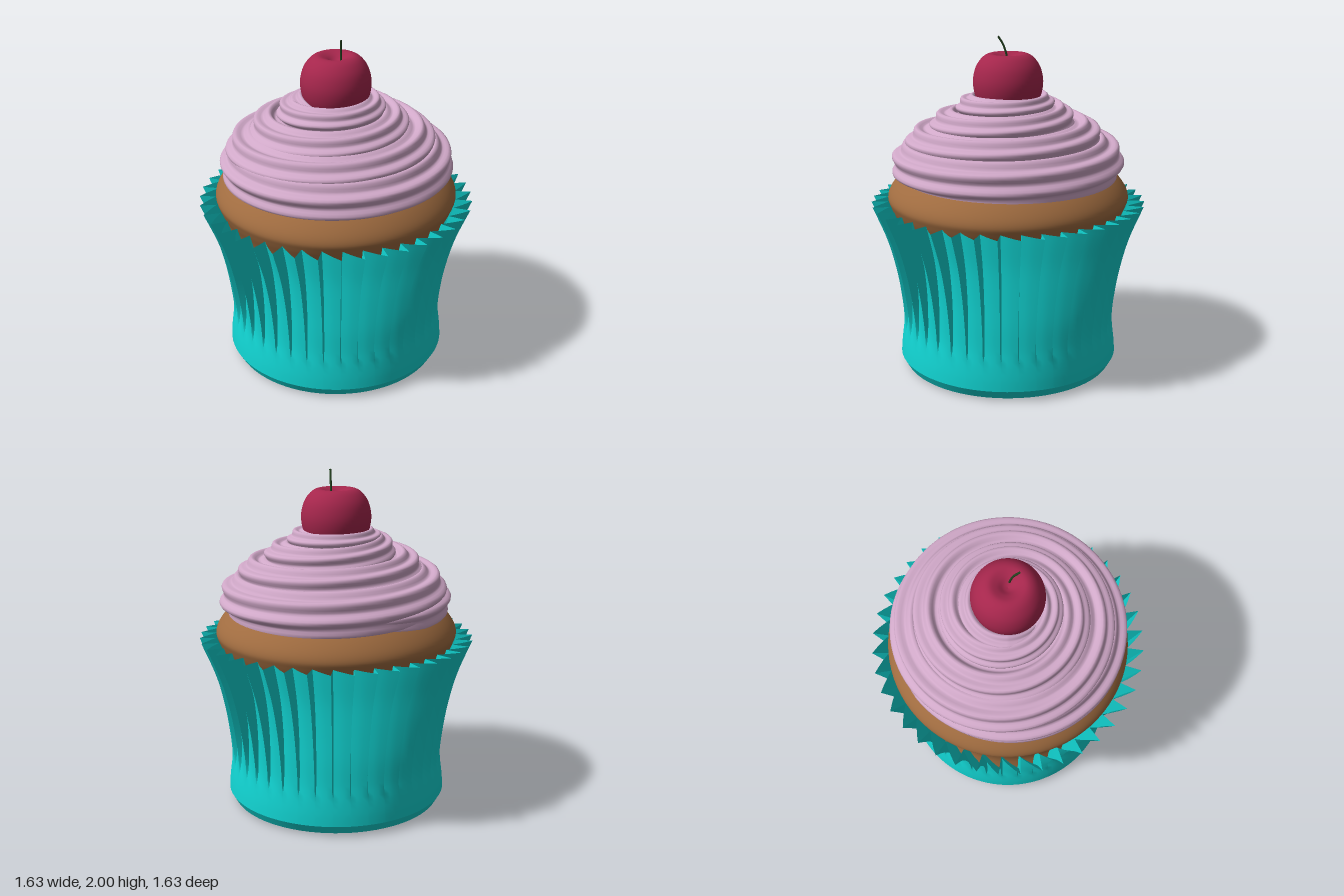
import * as THREE from 'three';
import { toCreasedNormals } from 'three/addons/utils/BufferGeometryUtils.js';
import { ParametricGeometry } from 'three/addons/geometries/ParametricGeometry.js';

const TAU = Math.PI * 2;
const spline2 = (pts) => new THREE.SplineCurve(pts.map(([x, y]) => new THREE.Vector2(x, y)));
const material = (color, side = THREE.FrontSide) => new THREE.MeshStandardMaterial({ color, side });

function addMesh(parent, name, geometry, mat) {
  const mesh = new THREE.Mesh(geometry, mat);
  mesh.name = name;
  parent.add(mesh);
  return mesh;
}

// Smooth turned solid from a profile listed bottom to top
function turned(pts, samples = 40) {
  const profile = spline2(pts).getPoints(samples);
  profile.forEach((p) => { p.x = Math.max(p.x, 0); });
  return new THREE.LatheGeometry(profile, 80);
}

// Flared paper side with sawtooth pleats that fade out towards the base
function pleatedSide() {
  const teeth = 40;
  const steps = [0, 0.31, 0.62, 0.93];
  const profile = spline2([[0.66, 0.065], [0.655, 0.13], [0.64, 0.28], [0.655, 0.45],
    [0.685, 0.63], [0.735, 0.82], [0.815, 1.02]]);
  const columns = teeth * steps.length;
  const surface = (u, v, target) => {
    const k = Math.round((1 - u) * columns);
    const f = steps[k % 4];
    const a = (TAU * (Math.floor(k / 4) + f)) / teeth + 0.02;
    const p = profile.getPoint(v);
    const depth = 0.1 * Math.pow(THREE.MathUtils.clamp((p.y - 0.22) / 0.8, 0, 1), 0.85);
    const r = p.x - (depth * f) / 0.93;
    target.set(r * Math.cos(a), p.y, r * Math.sin(a));
  };
  return toCreasedNormals(new ParametricGeometry(surface, columns, 28), 0.6);
}

// Piped icing: a fluted strand coiling upward and inward
function icingSwirl() {
  const turns = 4.5;
  const path = new THREE.CatmullRomCurve3([ // coil radius, height, strand radius
    [0.545, 1.235, 0.11], [0.56, 1.25, 0.13], [0.55, 1.27, 0.135], [0.49, 1.345, 0.125],
    [0.445, 1.39, 0.12], [0.36, 1.45, 0.11], [0.3, 1.5, 0.1], [0.225, 1.565, 0.085],
    [0.2, 1.585, 0.08], [0.195, 1.59, 0.075],
  ].map((p) => new THREE.Vector3(...p)));
  const flutes = 8;
  const surface = (u, v, target) => {
    const c = path.getPoint(u);
    const a = -2.1 - TAU * turns * u;
    const phi = TAU * v;
    const taper = Math.max(0.03, Math.sqrt(Math.min(1, u / 0.04, (1 - u) / 0.04)));
    const s = c.z * taper * (0.93 + 0.11 * Math.cos(flutes * (phi - TAU * 0.5 * u)));
    const r = c.x + s * Math.cos(phi);
    target.set(r * Math.cos(a), c.y + s * Math.sin(phi), r * Math.sin(a));
  };
  return new ParametricGeometry(surface, 420, 64);
}

export function createModel() {
  const model = new THREE.Group();
  model.name = 'cupcake';

  // Paper wrapper
  const wrapper = new THREE.Group();
  wrapper.name = 'wrapper';
  model.add(wrapper);
  const paper = material(0x11d4d2, THREE.DoubleSide);
  addMesh(wrapper, 'pleatedSide', pleatedSide(), paper);
  const basePoints = [[0, 0], [0.6, 0], [0.63, 0.012], [0.66, 0.065]].map((p) => new THREE.Vector2(...p));
  addMesh(wrapper, 'wrapperBase', toCreasedNormals(new THREE.LatheGeometry(basePoints, 80), 0.5), paper);

  // Sponge with a domed top
  addMesh(model, 'sponge', turned([[0, 0.1], [0.56, 0.12], [0.57, 0.4], [0.6, 0.65], [0.65, 0.88],
    [0.7, 1.0], [0.715, 1.06], [0.68, 1.13], [0.6, 1.21], [0.45, 1.32], [0.25, 1.42], [0, 1.46]], 60),
  material(0xa06c40));

  // Icing
  addMesh(model, 'icing', icingSwirl(), material(0xd0a8c8));

  // Cherry with a dimpled top and a bent stem
  const cherry = new THREE.Group();
  cherry.name = 'cherry';
  model.add(cherry);
  addMesh(cherry, 'cherryFruit', turned([[0, 1.5], [0.11, 1.535], [0.18, 1.62], [0.205, 1.72],
    [0.19, 1.81], [0.15, 1.87], [0.105, 1.893], [0.06, 1.88], [0.025, 1.858], [0, 1.85]]),
  material(0xa5264c));
  const stemPath = new THREE.CatmullRomCurve3([[0.02, 1.84, -0.022], [0.029, 1.9, -0.015],
    [0.042, 1.95, -0.004], [0.064, 1.997, 0.014]].map((p) => new THREE.Vector3(...p)));
  addMesh(cherry, 'cherryStem', new THREE.TubeGeometry(stemPath, 16, 0.006, 8), material(0x24421f, THREE.DoubleSide));

  return model;
}
